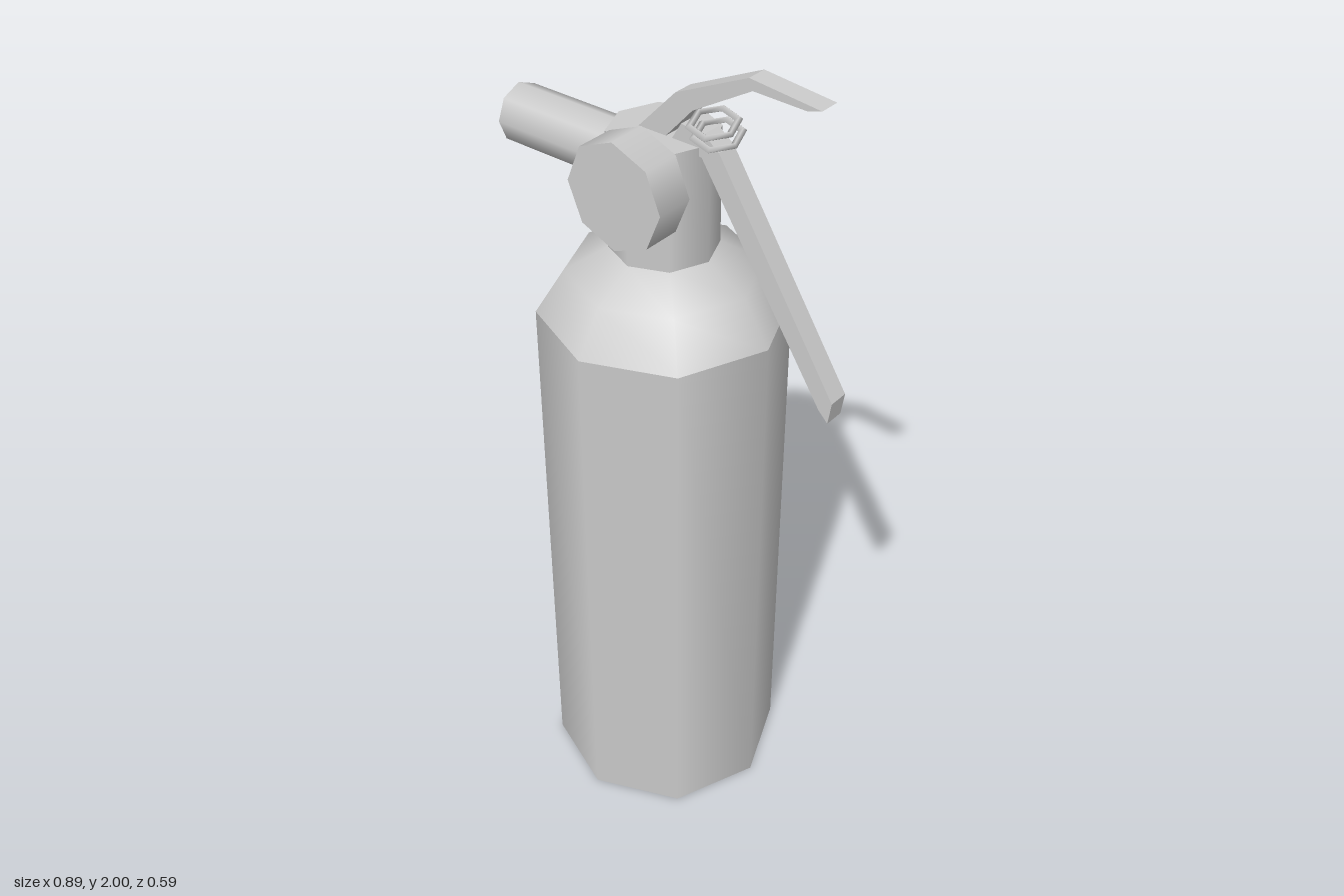
import * as THREE from 'three';

const material = new THREE.MeshStandardMaterial({ color: 0xcccccc, side: THREE.DoubleSide });
const AXIS_X = -0.037; // tank axis

function add(group, name, geometry, x = 0, y = 0, z = 0) {
  const mesh = new THREE.Mesh(geometry, material);
  mesh.name = name;
  mesh.position.set(x, y, z);
  group.add(mesh);
  return mesh;
}

const lathe = (points) =>
  new THREE.LatheGeometry(points.map(([r, y]) => new THREE.Vector2(r, y)), 8);

// Flat lever: side outline extruded to a narrow strip centred on z = 0
function strip(points, width) {
  const shape = new THREE.Shape(points.map(([x, y]) => new THREE.Vector2(x, y)));
  return new THREE.ExtrudeGeometry(shape, { depth: width, bevelEnabled: false }).translate(0, 0, -width / 2);
}

export function createModel() {
  const model = new THREE.Group();
  model.name = 'fireExtinguisher';

  // Tank: base, straight wall, shoulder, neck and neck top
  const tank = new THREE.Group();
  tank.name = 'tank';
  tank.position.x = AXIS_X;
  model.add(tank);
  add(tank, 'base', lathe([[0, 0], [0.293, 0]]));
  add(tank, 'wall', lathe([[0.293, 0], [0.293, 1.37]]));
  add(tank, 'shoulder', lathe([[0.293, 1.37], [0.226, 1.475], [0.125, 1.53]]));
  add(tank, 'neck', lathe([[0.125, 1.53], [0.125, 1.81]]));
  add(tank, 'neckTop', lathe([[0.125, 1.81], [0, 1.81]]));

  // Nozzle pointing sideways out of the neck
  add(model, 'nozzle', new THREE.CylinderGeometry(0.07, 0.07, 0.37, 8), -0.265, 1.727, 0.01)
    .rotation.z = Math.PI / 2;

  // Pressure gauge on the front of the neck
  add(model, 'gauge', new THREE.CylinderGeometry(0.126, 0.126, 0.095, 8), -0.02, 1.728, 0.138)
    .rotation.x = Math.PI / 2;

  // Squeeze lever, bent twice above the neck
  add(model, 'upperLever', strip([
    [-0.095, 1.80], [-0.02, 1.80], [0.06, 1.888], [0.21, 1.975], [0.34, 1.972],
    [0.375, 1.982], [0.2, 2.0], [0.015, 1.915],
  ], 0.05));

  // Carrying handle sloping down
  add(model, 'lowerHandle', strip([
    [0.0, 1.80], [0.085, 1.79], [0.412, 1.295], [0.437, 1.27], [0.445, 1.325],
    [0.13, 1.815], [0.09, 1.845], [0.03, 1.85],
  ], 0.05));

  // Two six-sided safety rings, tilted and stretched across the levers
  for (const [x, y] of [[0.097, 1.862], [0.108, 1.84]]) {
    const geometry = new THREE.TorusGeometry(0.043, 0.008, 4, 6);
    geometry.scale(1, 1.5, 1).rotateX(Math.PI / 2).rotateZ(-0.3);
    add(model, 'safetyRing', geometry, x, y, 0);
  }

  return model;
}
